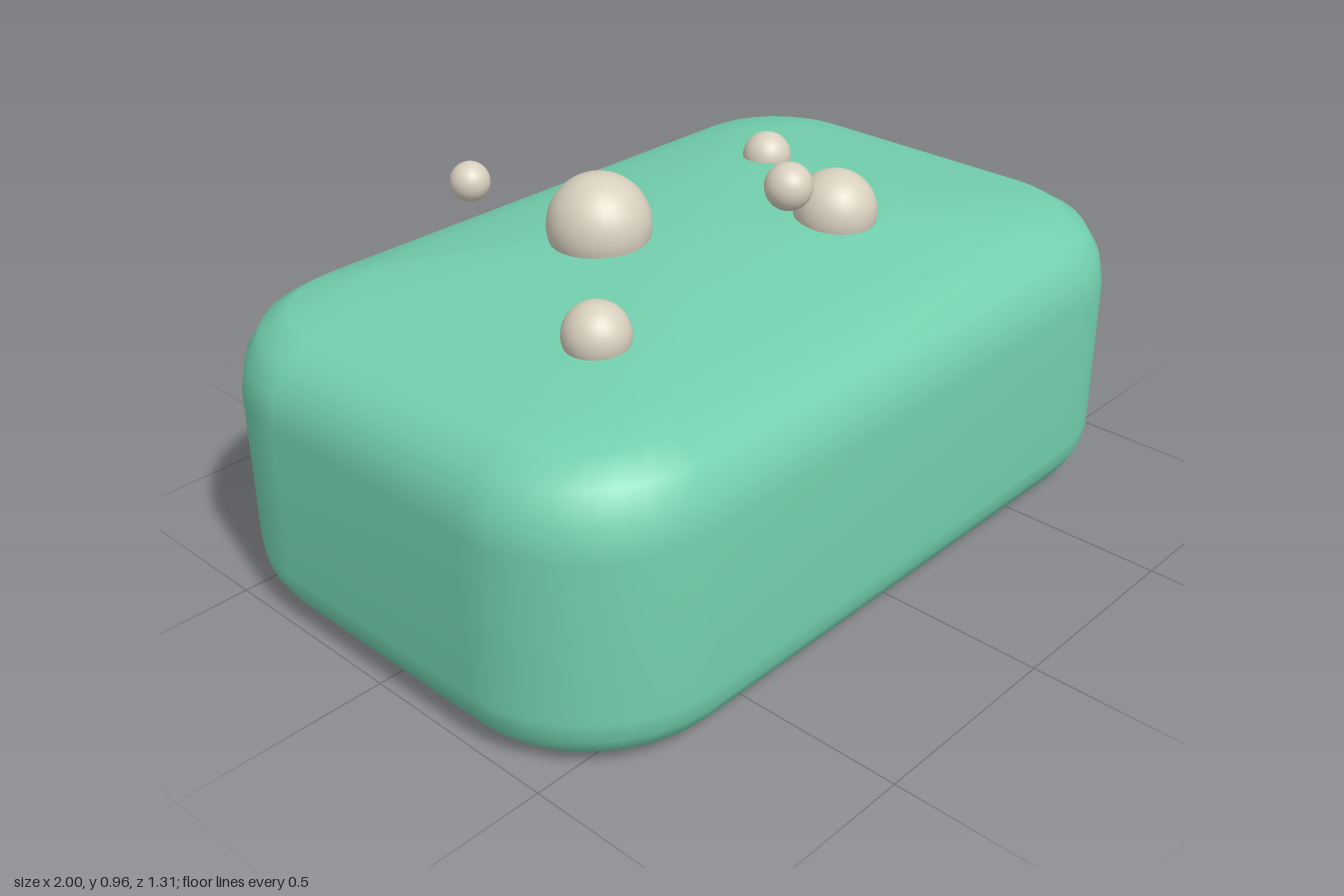
import * as THREE from 'three';

const HALF_X = 1, HALF_Z = 0.655, CORNER = 0.35, CORNER_STEPS = 8;

// Rounded-rectangle outline, pulled in by inset and then scaled about the centre
function outline(inset, scale) {
  const r = CORNER - inset, points = [];
  const signs = [[1, 1], [-1, 1], [-1, -1], [1, -1]];
  signs.forEach(([sx, sz], corner) => {
    for (let i = 0; i <= CORNER_STEPS; i++) {
      const a = (corner + i / CORNER_STEPS) * Math.PI / 2;
      points.push([
        (sx * (HALF_X - CORNER) + r * Math.cos(a)) * scale,
        (sz * (HALF_Z - CORNER) + r * Math.sin(a)) * scale,
      ]);
    }
  });
  return points;
}

// Closed skin through horizontal rings listed from bottom to top
function skin(rings) {
  const positions = [], index = [];
  const n = 4 * (CORNER_STEPS + 1);
  rings.forEach(([y, inset, scale]) => {
    outline(inset, scale).forEach(([x, z]) => positions.push(x, y, z));
  });
  for (let k = 0; k < rings.length - 1; k++) {
    for (let i = 0; i < n; i++) {
      const a = k * n + i, b = k * n + (i + 1) % n;
      index.push(a, a + n, b, b, a + n, b + n);
    }
  }
  // Centre points close the bottom and the top
  const bottom = rings.length * n, top = bottom + 1, last = (rings.length - 1) * n;
  positions.push(0, rings[0][0], 0, 0, 0.75, 0);
  for (let i = 0; i < n; i++) {
    const j = (i + 1) % n;
    index.push(bottom, i, j, top, last + j, last + i);
  }
  const geometry = new THREE.BufferGeometry();
  geometry.setAttribute('position', new THREE.Float32BufferAttribute(positions, 3));
  geometry.setIndex(index);
  geometry.computeVertexNormals();
  return geometry;
}

export function createModel() {
  const model = new THREE.Group();
  model.name = 'soapBar';
  const green = new THREE.MeshStandardMaterial({ name: 'soapGreen', color: 0x72cfad });
  const cream = new THREE.MeshStandardMaterial({ name: 'bubbleCream', color: 0xd8d0be });

  // Bar: rounded bottom edge, straight sides, rounded shoulder: [y, inset, scale]
  const rings = [
    [0, 0.12, 0.9], [0, 0.115, 1], [0.016, 0.066, 1], [0.045, 0.03, 1], [0.085, 0.008, 1],
    [0.135, 0, 1], [0.51, 0, 1], [0.585, 0.015, 1], [0.645, 0.052, 1], [0.685, 0.118, 1],
  ];
  // Shallow dome on top
  for (const s of [0.85, 0.68, 0.5, 0.3, 0.12]) {
    rings.push([0.685 + 0.065 * (1 - s * s), 0.118, s]);
  }
  const bar = new THREE.Mesh(skin(rings), green);
  bar.name = 'bar';
  model.add(bar);

  // Bubbles sitting on and floating above the bar: [x, y, z, radius]
  const bubbles = [
    [-0.19, 0.777, -0.13, 0.123],
    [0.28, 0.757, 0.185, 0.1],
    [-0.535, 0.742, 0.215, 0.075],
    [0.485, 0.733, -0.205, 0.062],
    [-0.41, 0.897, -0.315, 0.046],
    [0.03, 0.91, 0.248, 0.055],
  ];
  bubbles.forEach(([x, y, z, r], i) => {
    const bubble = new THREE.Mesh(new THREE.SphereGeometry(r, 28, 18), cream);
    bubble.name = 'bubble' + (i + 1);
    bubble.position.set(x, y, z);
    model.add(bubble);
  });
  return model;
}
